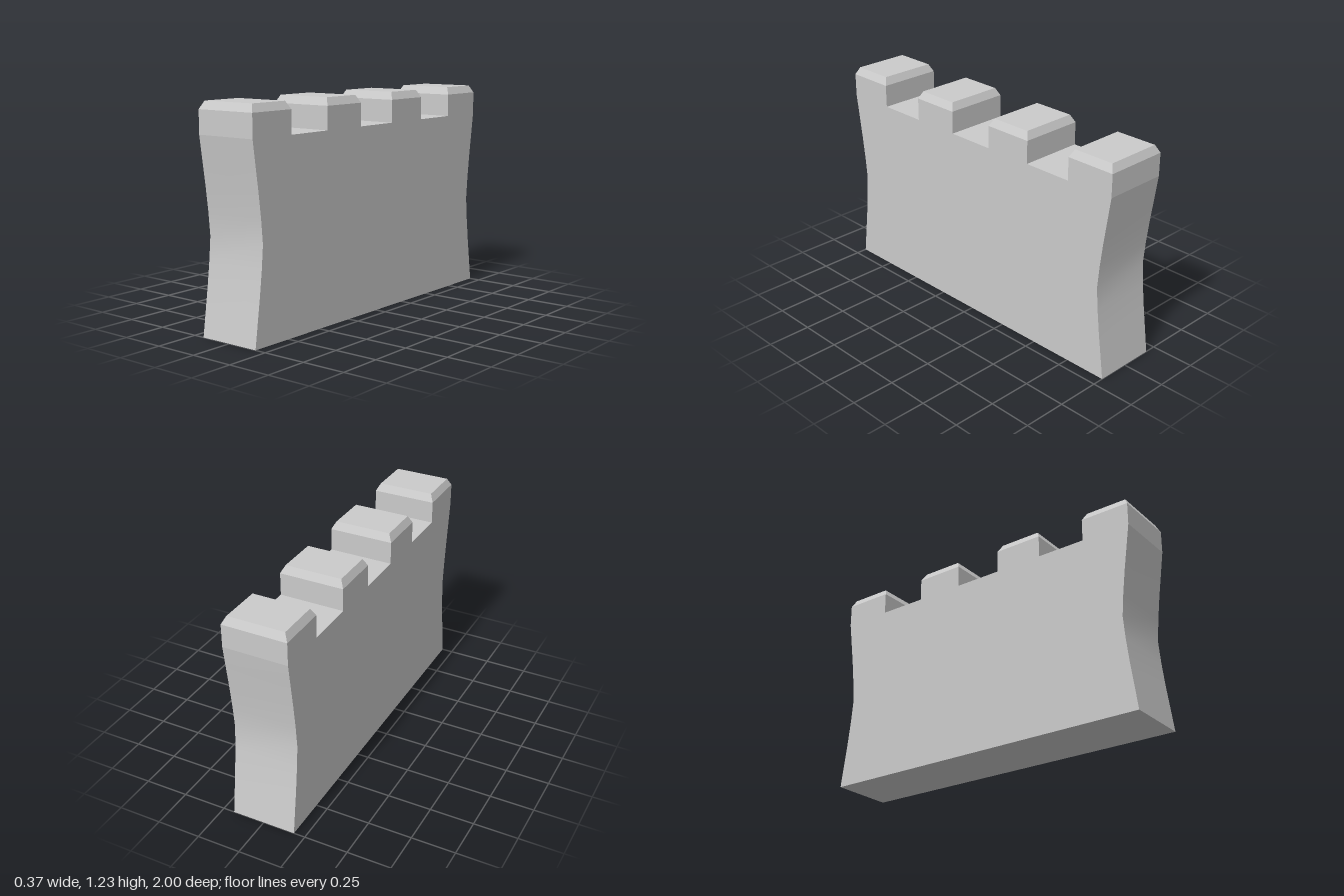
import * as THREE from 'three';
import { toCreasedNormals } from 'three/addons/utils/BufferGeometryUtils.js';

const THICK = 0.37, WALL_H = 1.06, MERLON_H = 0.172, CHAMFER_H = 0.043, INSET = 0.022;
const PITCH = 4 / 7, MERLON_L = 2 / 7;

// Wall body: side outline with gently waisted ends, extruded across the thickness
function wallGeometry() {
  const end = [[1, 0], [0.982, 0.13], [0.963, 0.265], [0.947, 0.40], [0.936, 0.53],
    [0.947, 0.66], [0.963, 0.795], [0.982, 0.93], [1, WALL_H]];
  const outline = [...end, ...end.map(([z, y]) => [-z, y]).reverse()];
  const shape = new THREE.Shape(outline.map(([z, y]) => new THREE.Vector2(z, y)));
  const geo = new THREE.ExtrudeGeometry(shape, { depth: THICK, bevelEnabled: false });
  geo.translate(0, 0, -THICK / 2).rotateY(Math.PI / 2);
  return toCreasedNormals(geo, 0.4);
}

// Merlon: block whose top row of vertices is pulled in to form the chamfer
function merlonGeometry() {
  const box = new THREE.BoxGeometry(THICK, MERLON_H, MERLON_L, 1, 2, 1);
  const p = box.attributes.position;
  for (let i = 0; i < p.count; i++) {
    const y = p.getY(i);
    if (Math.abs(y) < 1e-4) p.setY(i, MERLON_H / 2 - CHAMFER_H);
    else if (y > 0) {
      p.setX(i, p.getX(i) - Math.sign(p.getX(i)) * INSET);
      p.setZ(i, p.getZ(i) - Math.sign(p.getZ(i)) * INSET);
    }
  }
  const geo = box.toNonIndexed();
  geo.computeVertexNormals();
  return geo.translate(0, WALL_H + MERLON_H / 2, 0);
}

export function createModel() {
  const model = new THREE.Group();
  model.name = 'battlementWall';
  const stone = new THREE.MeshStandardMaterial({ color: 0xcccccc });

  const wall = new THREE.Mesh(wallGeometry(), stone);
  wall.name = 'wall';
  model.add(wall);

  // Four evenly spaced merlons along the top
  const merlonGeo = merlonGeometry();
  for (let i = 0; i < 4; i++) {
    const merlon = new THREE.Mesh(merlonGeo, stone);
    merlon.name = `merlon${i + 1}`;
    merlon.position.z = (i - 1.5) * PITCH;
    model.add(merlon);
  }
  return model;
}
